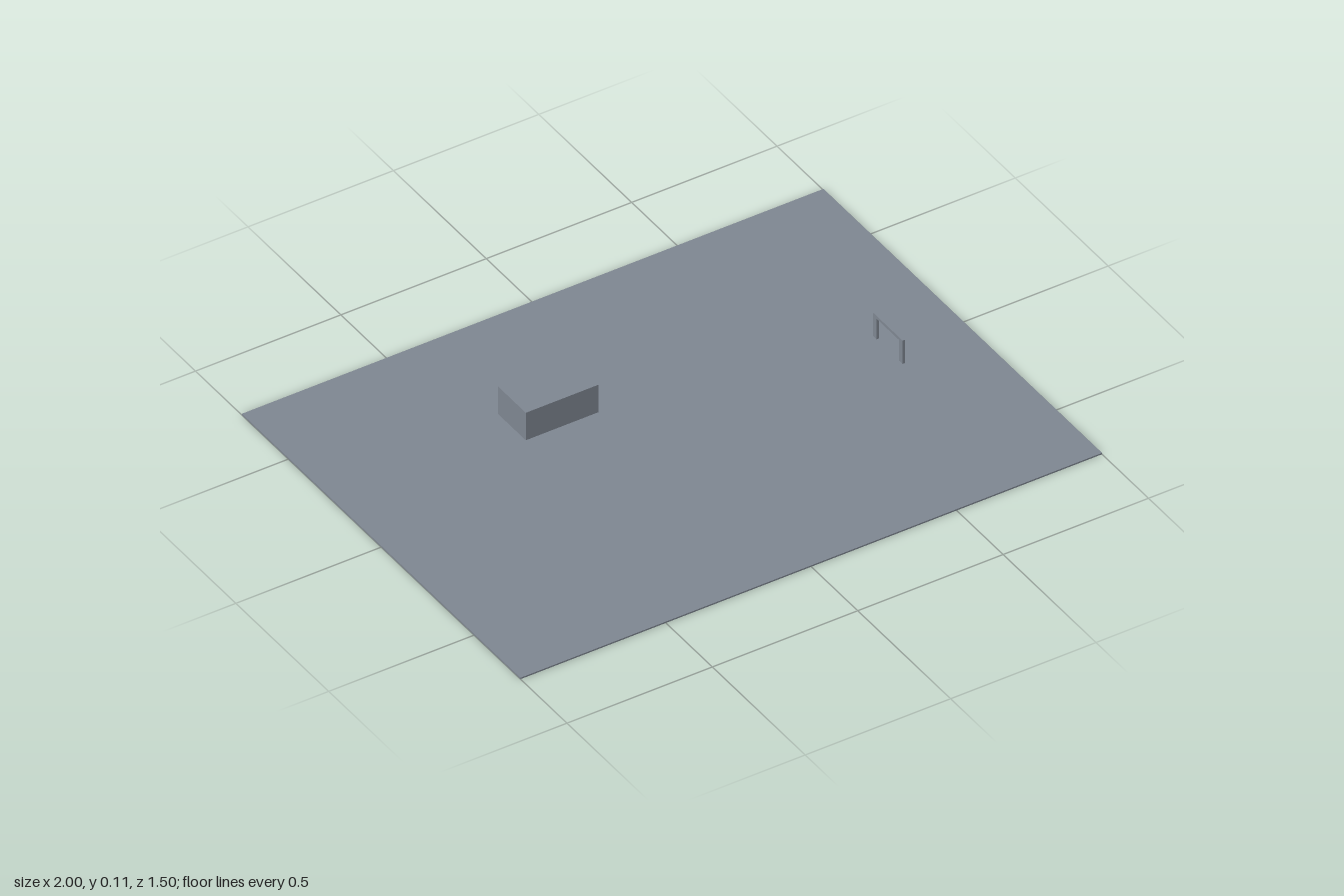
import * as THREE from 'three';

export function createModel() {
  const group = new THREE.Group();
  const slate = new THREE.MeshStandardMaterial({ color: 0x808893 });
  slate.name = 'slateGrey';

  // Box given by its size and the centre of its underside
  const addBox = (name, [w, h, d], [x, y, z], parent = group) => {
    const mesh = new THREE.Mesh(new THREE.BoxGeometry(w, h, d), slate);
    mesh.name = name;
    mesh.position.set(x, y + h / 2, z);
    parent.add(mesh);
  };

  // Thin ground slab
  const floor = 0.005;
  addBox('groundSlab', [2, floor, 1.5], [0, 0, 0]);

  // Solid block standing on the slab
  addBox('block', [0.25, 0.1, 0.15], [-0.25, floor, -0.275]);

  // Gate: two posts carrying a crossbar
  const gate = new THREE.Group();
  gate.name = 'gate';
  gate.position.set(0.746, floor, 0);
  for (const side of [-1, 1]) {
    addBox(side > 0 ? 'frontPost' : 'backPost', [0.008, 0.075, 0.02], [0, 0, side * 0.07], gate);
  }
  addBox('crossbar', [0.008, 0.01, 0.16], [0, 0.075, 0], gate);
  group.add(gate);

  return group;
}
